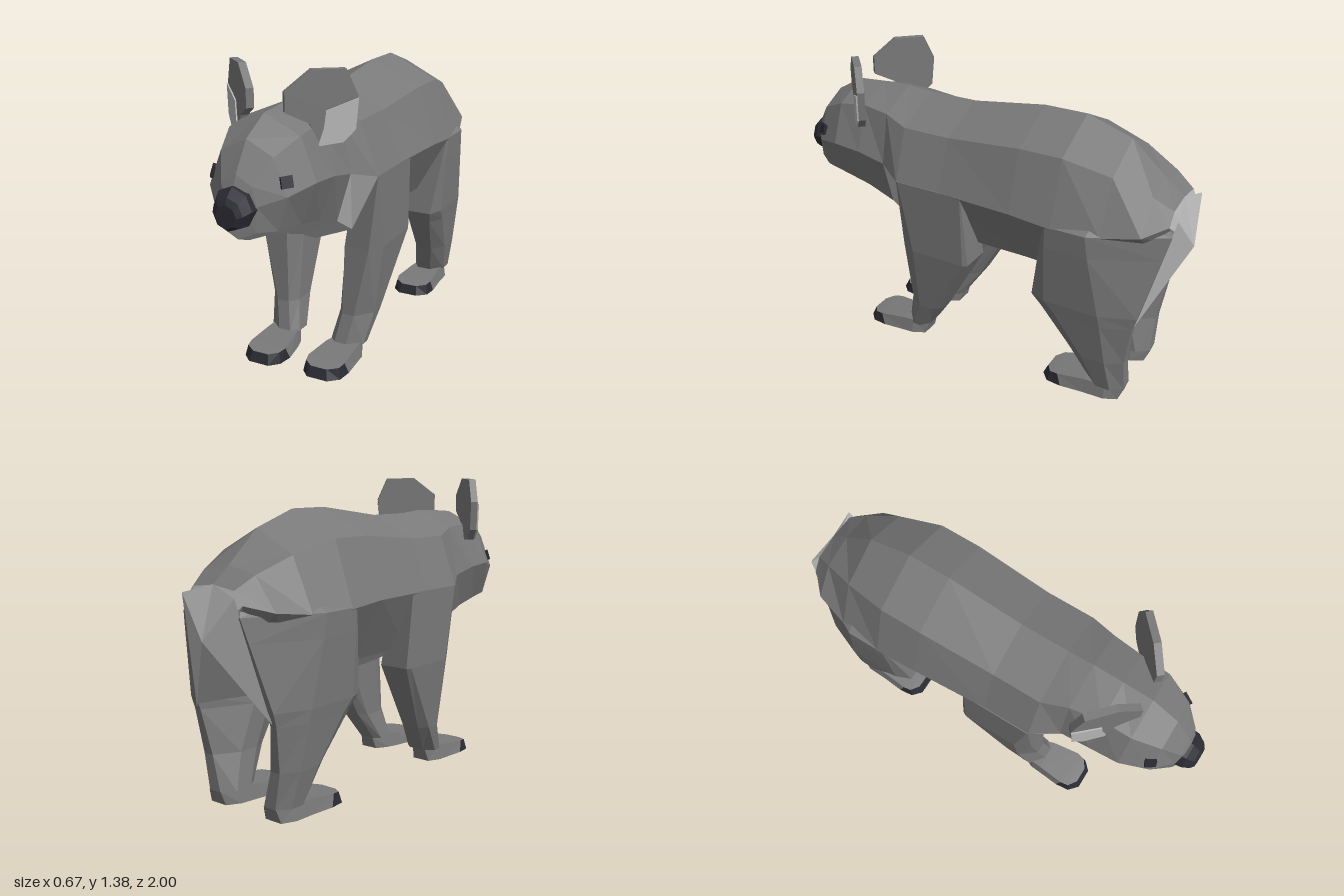
import * as THREE from 'three';

const mat = (name, color) => new THREE.MeshStandardMaterial({ name, color, flatShading: true });

// Skin a list of closed rings; pick(segment, side) gives the material index,
// with segment -1 for the first cap and rings.length - 1 for the last one.
function loft(name, rings, mats, pick = () => 0, tip = null) {
  const tris = mats.map(() => []);
  const n = rings[0].length, last = rings.length - 1;
  const add = (m, a, b, c) => tris[m].push([a, b, c]);
  for (let i = 0; i < last; i++) {
    for (let j = 0; j < n; j++) {
      const k = (j + 1) % n, m = pick(i, j);
      add(m, rings[i][j], rings[i][k], rings[i + 1][k]);
      add(m, rings[i][j], rings[i + 1][k], rings[i + 1][j]);
    }
  }
  const centre = r => r.reduce((s, p) => s.clone().add(p), new THREE.Vector3()).divideScalar(n);
  const c0 = centre(rings[0]), c1 = tip || centre(rings[last]);
  for (let j = 0; j < n; j++) {
    const k = (j + 1) % n;
    add(pick(-1, j), c0, rings[0][k], rings[0][j]);
    add(pick(last, j), c1, rings[last][j], rings[last][k]);
  }
  // Turn the skin outward if its signed volume is negative
  let vol = 0;
  const cross = new THREE.Vector3();
  tris.flat().forEach(([a, b, c]) => { vol += a.dot(cross.crossVectors(b, c)); });
  const pos = [], geo = new THREE.BufferGeometry();
  tris.forEach((list, m) => {
    const start = pos.length / 3;
    list.forEach(([a, b, c]) => (vol < 0 ? [a, c, b] : [a, b, c]).forEach(p => pos.push(p.x, p.y, p.z)));
    geo.addGroup(start, pos.length / 3 - start, m);
  });
  geo.setAttribute('position', new THREE.Float32BufferAttribute(pos, 3));
  geo.computeVertexNormals();
  const mesh = new THREE.Mesh(geo, mats.length > 1 ? mats : mats[0]);
  mesh.name = name;
  return mesh;
}

const V = (x, y, z) => new THREE.Vector3(x, y, z);

// Horizontal leg ring: a rectangle with its outer front (cf), outer back (cb)
// and inner back (ib) corners cut by a share of its width and depth
function legRing(s, [y, zf, zb, xo, xi, cf, cb, ib]) {
  const w = xo - xi, d = zf - zb;
  return [
    [xi + w * 0.2, zf], [xo - w * cf, zf], [xo, zf - d * cf], [xo, zb + d * cb],
    [xo - w * cb, zb], [xi + w * ib, zb], [xi, zb + d * ib], [xi, zf - d * 0.25],
  ].map(([x, z]) => V(s * x, y, z));
}

export function createModel() {
  const fur = mat('greyFur', 0x797979);
  const pale = mat('paleFur', 0xb8b8b8);
  pale.side = THREE.DoubleSide;
  const dark = mat('darkSkin', 0x2b2b34);
  const model = new THREE.Group();
  model.name = 'marsupial';

  // Head and body: z, topY, creaseX, creaseY, sideX, sideY, lowX, lowY, bottomY
  const sections = [
    [0.945, 0.95, 0.04, 0.93, 0.06, 0.88, 0.05, 0.82, 0.8],
    [0.92, 1.01, 0.07, 0.97, 0.09, 0.89, 0.08, 0.785, 0.745],
    [0.84, 1.13, 0.12, 1.07, 0.18, 0.92, 0.135, 0.775, 0.715],
    [0.71, 1.205, 0.165, 1.13, 0.235, 0.95, 0.16, 0.765, 0.69],
    [0.57, 1.215, 0.17, 1.15, 0.24, 0.94, 0.17, 0.74, 0.65],
    [0.43, 1.22, 0.19, 1.14, 0.24, 0.91, 0.175, 0.69, 0.6],
    [0.31, 1.21, 0.225, 1.11, 0.31, 0.875, 0.185, 0.615, 0.54],
    [0.08, 1.21, 0.225, 1.11, 0.31, 0.875, 0.185, 0.6, 0.51],
    [-0.28, 1.26, 0.24, 1.145, 0.33, 0.875, 0.19, 0.6, 0.485],
    [-0.48, 1.26, 0.24, 1.145, 0.335, 0.86, 0.2, 0.6, 0.49],
    [-0.69, 1.19, 0.2, 1.09, 0.305, 0.86, 0.16, 0.68, 0.6],
    [-0.85, 1.05, 0.15, 1.02, 0.258, 0.88, 0.13, 0.75, 0.69],
    [-0.935, 0.98, 0.12, 0.965, 0.165, 0.91, 0.1, 0.82, 0.76],
  ];
  const bodyRings = sections.map(([z, t, cx, cy, mx, my, lx, ly, b]) => [
    V(0, t, z), V(cx, cy, z), V(mx, my, z), V(lx, ly, z),
    V(0, b, z), V(-lx, ly, z), V(-mx, my, z), V(-cx, cy, z),
  ]);
  // Pale underside, neck sides and rump
  const bodyColour = (i, j) => {
    const underside = i >= 0 && (j === 3 || j === 4);
    const neck = i === 5 && (j === 2 || j === 5);
    return underside || neck || i === 12 ? 1 : 0;
  };
  const tail = V(0, 0.76, -1);
  model.add(loft('body', bodyRings, [fur, pale], bodyColour, tail));

  // Nose
  const noseRings = [[0.905, 0.88, 0.093], [0.95, 0.88, 0.088], [0.985, 0.868, 0.068], [1, 0.862, 0.048]]
    .map(([z, y, r]) => Array.from({ length: 8 }, (_, k) => {
      const a = k * Math.PI / 4;
      return V(r * Math.cos(a), y + r * Math.sin(a), z);
    }));
  model.add(loft('nose', noseRings, [dark]));

  // Leg rings: y, frontZ, backZ, outerX, innerX, and the three corner cuts
  const frontLeg = [
    [0.878, 0.31, -0.03, 0.313, 0.18, 0.02, 0.01, 0.15],
    [0.53, 0.31, -0.055, 0.307, 0.11, 0.2, 0.06, 0.2],
    [0.2, 0.32, 0.13, 0.265, 0.11, 0.42, 0.22, 0.2],
    [0.06, 0.355, 0.225, 0.24, 0.085, 0.42, 0.28, 0.2],
  ];
  const hindLeg = [
    [0.94, -0.47, -0.9, 0.215, 0.05, 0.05, 0.55, 0.2],
    [0.865, -0.445, -0.95, 0.333, 0.06, 0.02, 0.62, 0.25],
    [0.76, -0.425, -0.925, 0.328, 0.07, 0.05, 0.55, 0.4],
    [0.48, -0.375, -0.858, 0.307, 0.11, 0.15, 0.32, 0.52],
    [0.42, -0.415, -0.84, 0.298, 0.11, 0.2, 0.3, 0.52],
    [0.22, -0.545, -0.81, 0.27, 0.11, 0.3, 0.28, 0.4],
    [0.06, -0.63, -0.81, 0.24, 0.085, 0.35, 0.28, 0.3],
  ];

  // Ear outline in its own plane (u outward, y up)
  const ear = [[0, 1.21], [0, 1.29], [0.11, 1.375], [0.25, 1.372], [0.298, 1.265],
    [0.285, 1.13], [0.235, 1.08], [0.13, 1.07], [0.1, 1.16]];
  const tuft = [[0.299, 1.255], [0.287, 1.128], [0.236, 1.078], [0.13, 1.068], [0.155, 1.14], [0.165, 1.21]];
  const turn = 0.74;
  const earRing = (s, pts, w) => pts.map(([u, y]) => V(
    s * (0.08 + u * Math.cos(turn) + w * Math.sin(turn)), y,
    0.69 - u * Math.sin(turn) + w * Math.cos(turn)));

  for (const s of [1, -1]) {
    const side = s > 0 ? 'left' : 'right';
    model.add(loft(side + 'FrontLeg', frontLeg.map(r => legRing(s, r)), [fur]));
    model.add(loft(side + 'HindLeg', hindLeg.map(r => legRing(s, r)), [fur, pale],
      (i, j) => (i >= 0 && i < 3 && (j === 5 || j === 6) ? 1 : 0)));

    // Pale rump panels running from the tail to the hind legs
    const top = V(0, 0.982, -0.936), corner = V(s * 0.152, 0.94, -0.965);
    const thigh = V(s * 0.225, 0.43, -0.845), groin = V(s * 0.11, 0.46, -0.62);
    const notch = V(0, 0.72, -0.95);
    const panel = new THREE.BufferGeometry().setFromPoints([
      top, corner, tail, corner, thigh, tail, tail, thigh, notch, notch, thigh, groin]);
    panel.computeVertexNormals();
    const rump = new THREE.Mesh(panel, pale);
    rump.name = side + 'Rump';
    model.add(rump);

    // Feet with dark toes and soles
    for (const [name, toe, heel] of [['FrontFoot', 0.58, 0.25], ['HindFoot', -0.41, -0.79]]) {
      const rings = [
        [heel, heel - 0.02, 0.12, 0.21, 0.062], [heel + 0.06, heel + 0.06, 0.085, 0.238, 0.07],
        [toe - 0.22, toe - 0.22, 0.07, 0.242, 0.068], [toe - 0.11, toe - 0.09, 0.05, 0.252, 0.055],
        [toe - 0.04, toe - 0.05, 0.06, 0.245, 0.05], [toe, toe - 0.02, 0.1, 0.2, 0.045],
      ].map(([zb, zt, xi, xo, h]) => [V(s * xi, 0, zb), V(s * xo, 0, zb),
        V(s * (xo - 0.01), h, zt), V(s * (xi + 0.01), h, zt)]);
      model.add(loft(side + name, rings, [fur, dark],
        (i, j) => (i === 5 || (i >= 3 && j !== 2) || (i >= 0 && j === 0) ? 1 : 0)));
    }

    // Ears with pale tufts
    model.add(loft(side + 'Ear', [earRing(s, ear, -0.02), earRing(s, ear, 0.013)], [fur]));
    model.add(loft(side + 'EarTuft', [earRing(s, tuft, 0.012), earRing(s, tuft, 0.019)], [pale]));

    // Eyes
    const eye = new THREE.Mesh(new THREE.BoxGeometry(0.05, 0.048, 0.024), dark);
    eye.name = side + 'Eye';
    eye.position.set(s * 0.165, 0.975, 0.826);
    eye.rotation.set(-0.3, s * 0.98, 0, 'YXZ');
    model.add(eye);
  }
  return model;
}
